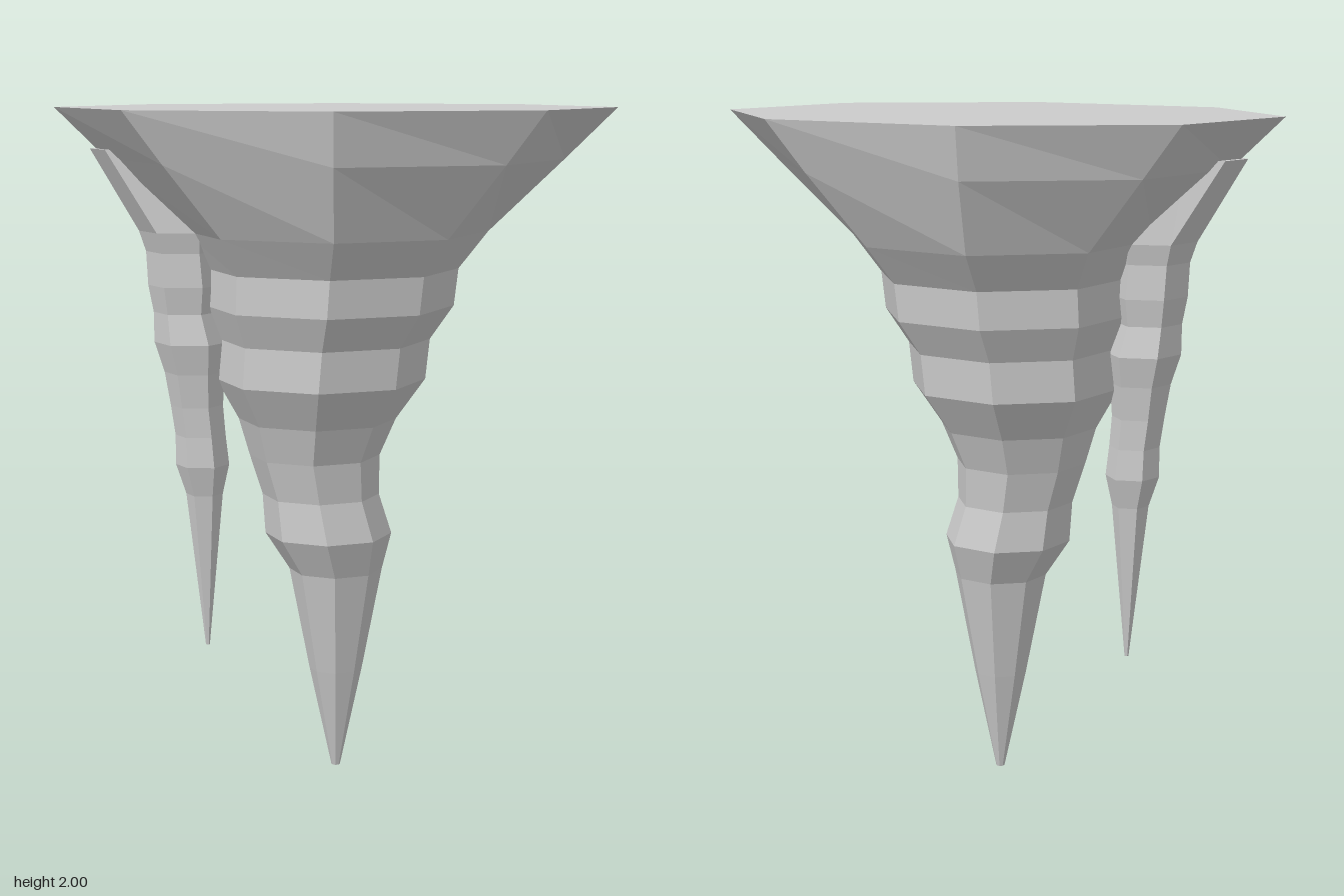
import * as THREE from 'three';

// Faceted spike lofted through rings of [y, centreX, radiusX, radiusZ], listed bottom to top
function spike(name, sides, rings) {
  const pos = [];
  const corner = ([y, cx, rx, rz], i) => {
    const a = (i / sides) * Math.PI * 2;
    return [cx + rx * Math.cos(a), y, rz * Math.sin(a)];
  };
  for (let i = 0; i < sides; i++) {
    // Side walls
    for (let r = 0; r < rings.length - 1; r++) {
      const a = corner(rings[r], i), b = corner(rings[r], i + 1);
      const c = corner(rings[r + 1], i + 1), d = corner(rings[r + 1], i);
      pos.push(...a, ...d, ...c, ...a, ...c, ...b);
    }
    // Flat end caps
    const low = rings[0], high = rings[rings.length - 1];
    pos.push(low[1], low[0], 0, ...corner(low, i), ...corner(low, i + 1));
    pos.push(high[1], high[0], 0, ...corner(high, i + 1), ...corner(high, i));
  }
  const geometry = new THREE.BufferGeometry();
  geometry.setAttribute('position', new THREE.Float32BufferAttribute(pos, 3));
  geometry.computeVertexNormals();
  const mesh = new THREE.Mesh(
    geometry,
    new THREE.MeshStandardMaterial({ color: 0xcccccc, flatShading: true })
  );
  mesh.name = name;
  return mesh;
}

export function createModel() {
  const group = new THREE.Group();
  group.name = 'stalactite';

  // Large eight-sided spike flaring into an oval top
  group.add(spike('mainSpike', 8, [
    [0, 0, 0.013, 0.013],
    [0.31, 0, 0.08, 0.08],
    [0.62, 0, 0.14, 0.14],
    [0.73, -0.022, 0.19, 0.19],
    [0.85, -0.045, 0.175, 0.175],
    [0.97, -0.063, 0.195, 0.195],
    [1.08, -0.055, 0.235, 0.235],
    [1.2, -0.045, 0.312, 0.312],
    [1.32, -0.035, 0.315, 0.315],
    [1.42, -0.02, 0.37, 0.37],
    [1.53, -0.012, 0.375, 0.375],
    [1.64, 0, 0.45, 0.455],
    [1.85, 0, 0.67, 0.54],
    [2, 0, 0.823, 0.575],
  ]));

  // Small six-sided spike leaning out of the flare
  const small = [
    [0.38, -0.39, 0.006],
    [0.85, -0.395, 0.055],
    [0.94, -0.4, 0.08],
    [1.03, -0.405, 0.075],
    [1.12, -0.415, 0.078],
    [1.22, -0.42, 0.09],
    [1.31, -0.427, 0.112],
    [1.4, -0.442, 0.098],
    [1.48, -0.443, 0.112],
    [1.58, -0.45, 0.11],
    [1.64, -0.455, 0.125],
    [1.88, -0.61, 0.11],
  ];
  group.add(spike('smallSpike', 6, small.map(([y, x, r]) => [y, x, r, r])));

  return group;
}
